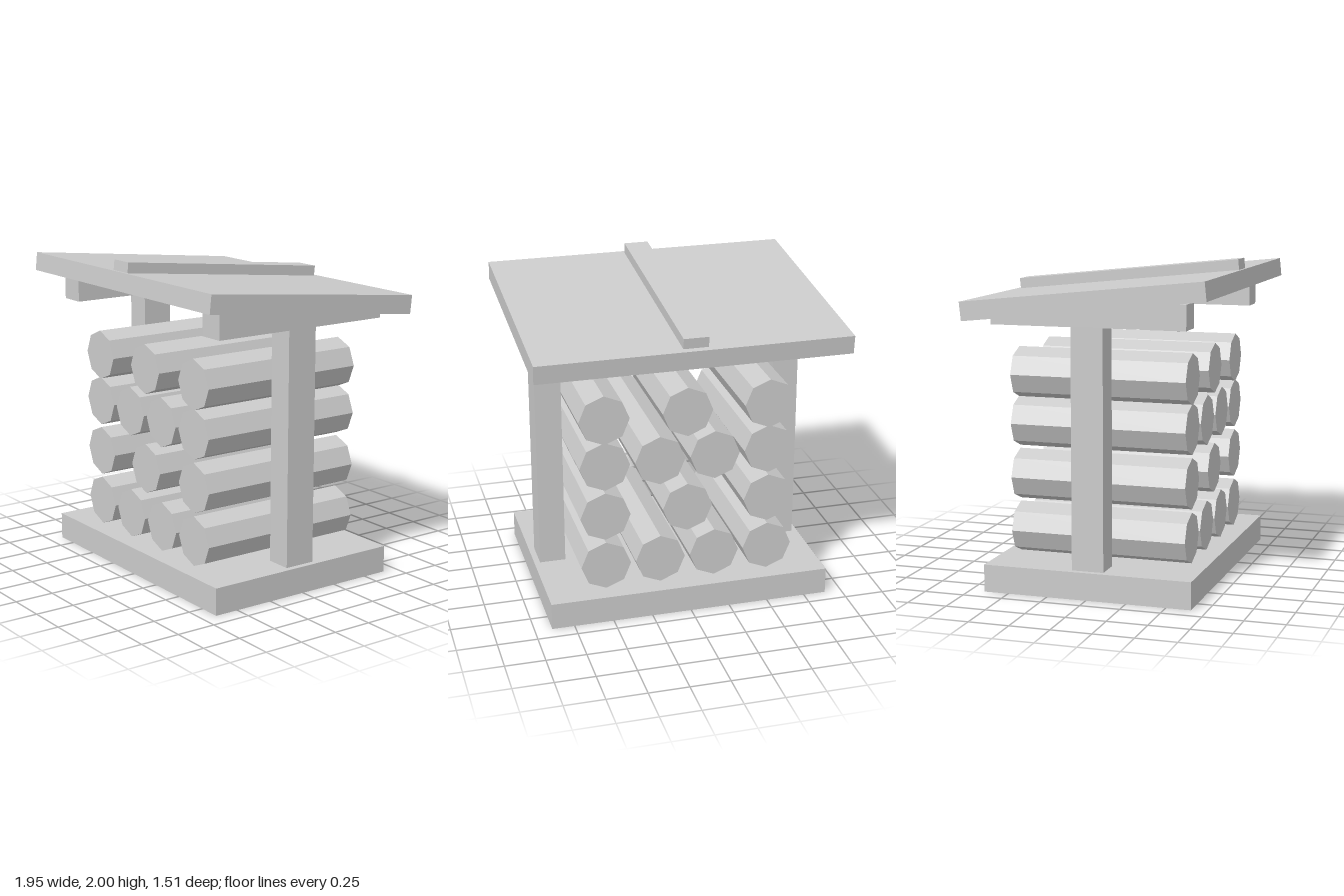
import * as THREE from 'three';

const material = new THREE.MeshStandardMaterial({ color: 0xcccccc, flatShading: true });

function box(name, w, h, d, x, y, z) {
  const mesh = new THREE.Mesh(new THREE.BoxGeometry(w, h, d), material);
  mesh.name = name;
  mesh.position.set(x, y, z);
  return mesh;
}

export function createModel() {
  const model = new THREE.Group();
  model.name = 'firewoodShelter';

  // Base slab
  model.add(box('base', 1.784, 0.17, 1.31, 0, 0.085, 0));

  // Side frames: a post carrying a beam that runs front to back
  for (const [side, s] of [['left', 1], ['right', -1]]) {
    model.add(box(side + 'Post', 0.166, 1.48, 0.2, s * 0.772, 0.905, 0));
    model.add(box(side + 'Beam', 0.166, 0.153, 1.212, s * 0.772, 1.717, 0));
  }

  // Sloping roof, higher at the front, with a batten along its middle
  const roof = new THREE.Group();
  roof.name = 'roof';
  roof.position.set(0, 1.803, 0);
  roof.rotation.x = -0.105;
  roof.add(box('roofPanel', 1.945, 0.116, 1.51, 0, 0, 0));
  roof.add(box('roofBatten', 0.155, 0.066, 1.446, 0, 0.09, 0.009));
  model.add(roof);

  // Stacked octagonal logs, alternating rows of four and three
  const logs = new THREE.Group();
  logs.name = 'logs';
  const logGeometry = new THREE.CylinderGeometry(0.158, 0.158, 1.11, 8).rotateX(Math.PI / 2);
  const four = [-0.521, -0.174, 0.174, 0.521];
  const three = [-0.521, 0, 0.521];
  const rows = [[0.34, four], [0.676, three], [1.011, four], [1.314, three]];
  for (const [y, xs] of rows) {
    for (const x of xs) {
      const log = new THREE.Mesh(logGeometry, material);
      log.name = 'log';
      log.position.set(x, y, 0);
      logs.add(log);
    }
  }
  model.add(logs);

  return model;
}
